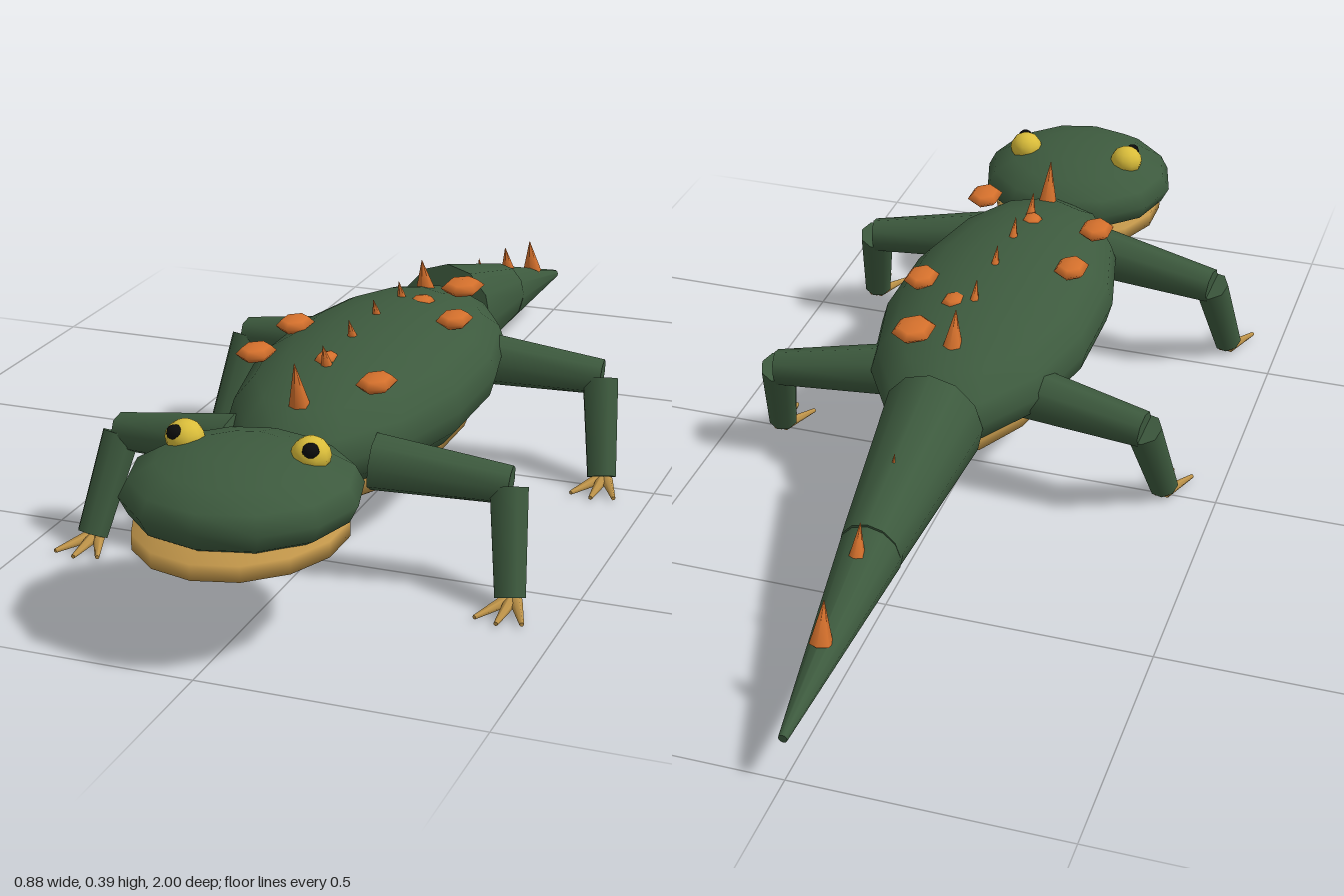
import * as THREE from 'three';

const mat = (name, color) => {
  const m = new THREE.MeshStandardMaterial({ color });
  m.name = name;
  return m;
};

export function createModel() {
  const green = mat('mossGreen', 0x3d5a3e);
  const tan = mat('bellyTan', 0xbf9449);
  const orange = mat('spikeOrange', 0xd4702c);
  const yellow = mat('eyeYellow', 0xdabd3a);
  const black = mat('pupilBlack', 0x0c0c0c);

  const model = new THREE.Group();
  model.name = 'lizard';
  const V = (x, y, z) => new THREE.Vector3(x, y, z);

  const add = (name, geometry, material, parent = model) => {
    const mesh = new THREE.Mesh(geometry, material);
    mesh.name = name;
    parent.add(mesh);
    return mesh;
  };

  // Squashed sphere, its seam turned to face along the body
  const blob = (name, material, center, radii, w, h, parent) => {
    const g = new THREE.SphereGeometry(1, w, h).rotateY(Math.PI / 2);
    g.scale(...radii).translate(...center);
    return add(name, g, material, parent);
  };

  // Tapered limb between two points; widthScale squeezes it sideways
  const limb = (name, material, a, b, ra, rb, sides, parent, widthScale = 1) => {
    const dir = b.clone().sub(a);
    const g = new THREE.CylinderGeometry(rb, ra, dir.length(), sides);
    g.scale(widthScale, 1, 1);
    const mesh = add(name, g, material, parent);
    mesh.quaternion.setFromUnitVectors(V(0, 1, 0), dir.normalize());
    mesh.position.copy(a).add(b).multiplyScalar(0.5);
    return mesh;
  };

  // Torso, belly, head and jaw
  blob('body', green, [0, 0.235, 0.19], [0.215, 0.125, 0.46], 14, 10);
  blob('belly', tan, [0, 0.167, 0.19], [0.17, 0.09, 0.41], 14, 8);
  blob('head', green, [0, 0.25, 0.79], [0.205, 0.08, 0.2], 12, 8);
  blob('jaw', tan, [0, 0.19, 0.795], [0.188, 0.045, 0.214], 14, 5);

  // Tail in two tapering sections
  limb('tailBase', green, V(0, 0.228, -0.22), V(0, 0.172, -0.575), 0.11, 0.065, 12, model, 0.88);
  limb('tailTip', green, V(0, 0.17, -0.565), V(0, 0.09, -1.0), 0.065, 0.009, 12, model, 0.9);

  for (const s of [1, -1]) {
    // Eyes
    const side = s > 0 ? 'left' : 'right';
    blob(side + 'Eye', yellow, [s * 0.113, 0.318, 0.765], [0.034, 0.031, 0.034], 10, 8);
    blob(side + 'Pupil', black, [s * 0.121, 0.333, 0.786], [0.015, 0.013, 0.015], 8, 6);

    // Legs: same pose front and back
    for (const [label, z] of [['Front', 0.575], ['Hind', 0]]) {
      const leg = new THREE.Group();
      leg.name = side + label + 'Leg';
      leg.position.z = z;
      model.add(leg);
      limb('upperLeg', green, V(s * 0.13, 0.212, -0.05), V(s * 0.37, 0.19, -0.08), 0.052, 0.035, 8, leg)
        .position.y += 0.005;
      limb('lowerLeg', green, V(s * 0.368, 0.192, -0.075), V(s * 0.396, 0.022, 0), 0.036, 0.029, 8, leg);
      for (const dx of [-0.042, 0, 0.042]) {
        const tip = V(s * 0.396 + dx, 0.009, dx ? 0.066 : 0.078);
        limb('toe', tan, V(s * 0.396 + dx * 0.15, 0.014, -0.012), tip, 0.012, 0.004, 6, leg);
      }
    }
  }

  // Spikes along the spine: z, base height, tip height, radius
  const spikes = [
    [0.545, 0.305, 0.393, 0.02], [0.415, 0.33, 0.383, 0.013], [0.29, 0.345, 0.39, 0.011],
    [0.165, 0.345, 0.39, 0.011], [0.03, 0.335, 0.385, 0.012], [-0.1, 0.32, 0.39, 0.02],
    [-0.455, 0.235, 0.29, 0.01], [-0.635, 0.205, 0.262, 0.015], [-0.815, 0.15, 0.226, 0.021],
  ];
  for (const [z, y0, y1, r] of spikes) {
    limb('backSpike', orange, V(0, y0, z - 0.003), V(0, y1, z + 0.018), r, 0.0005, 6);
  }

  // Flat warts on the back: x, z, half width, half length
  const warts = [
    [0.08, -0.095, 0.038, 0.052], [0.13, 0.1, 0.031, 0.046], [0.115, 0.47, 0.032, 0.048],
    [-0.14, 0.225, 0.031, 0.046], [-0.145, 0.395, 0.032, 0.046], [0.04, 0.027, 0.023, 0.03],
    [-0.01, 0.39, 0.02, 0.028],
  ];
  for (const [x, z, w, l] of warts) {
    blob('wart', orange, [x, 0.341, z], [w * 1.1, 0.015, l], 6, 4);
  }

  return model;
}
